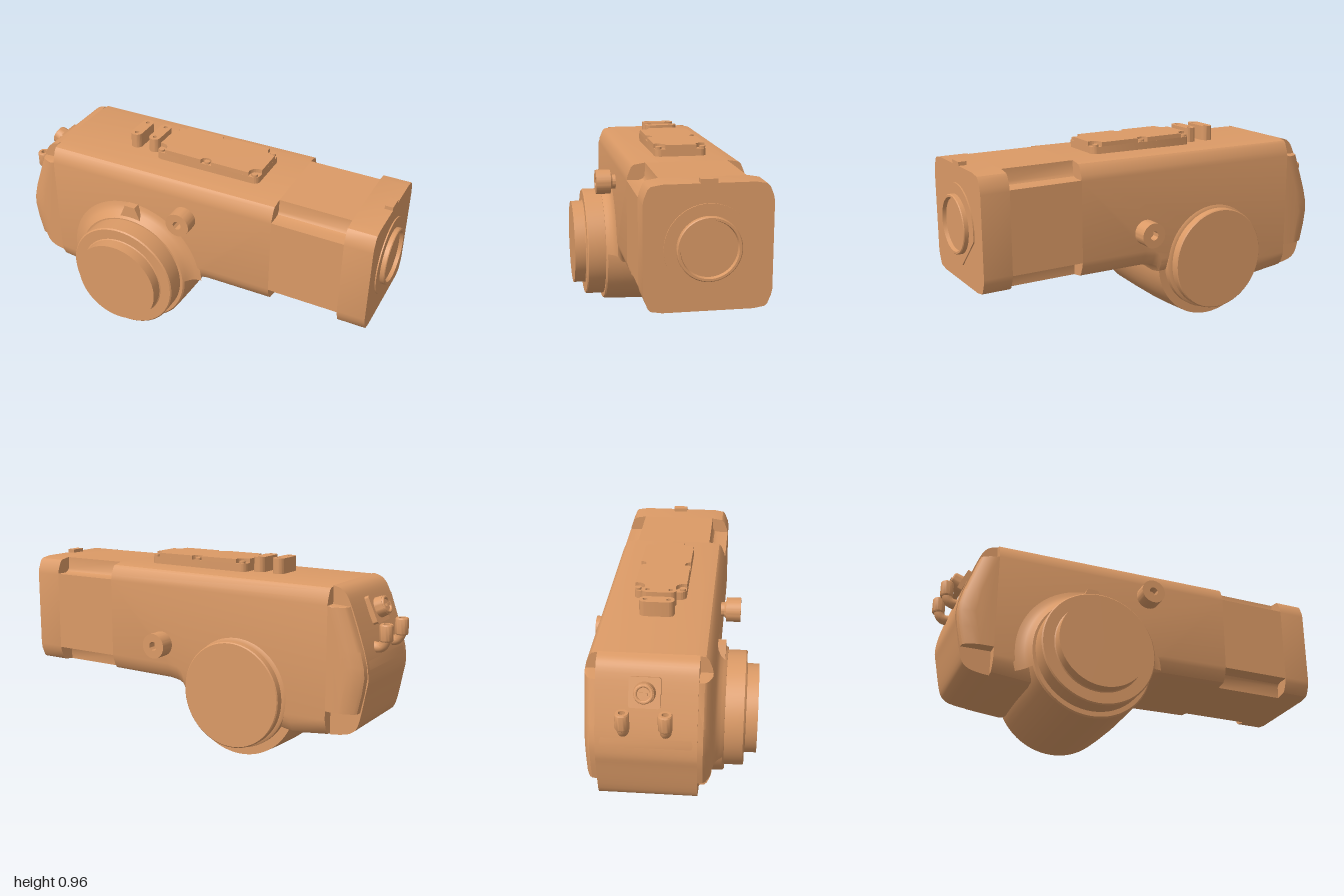
import * as THREE from 'three';
import { toCreasedNormals } from 'three/addons/utils/BufferGeometryUtils.js';

const MID_Z = -0.052, MID_Y = 0.617, HUB_X = -0.285, HUB_Y = 0.318;
const V = (x, y) => new THREE.Vector2(x, y);

export function createModel() {
  const model = new THREE.Group();
  const mat = new THREE.MeshStandardMaterial({ color: 0xdb9a66 });
  const thinMat = new THREE.MeshStandardMaterial({ color: 0xdb9a66, side: THREE.DoubleSide });

  function add(name, geo, x = 0, y = 0, z = 0, parent = model, material = mat) {
    const mesh = new THREE.Mesh(toCreasedNormals(geo, 0.6), material);
    mesh.name = name;
    mesh.position.set(x, y, z);
    parent.add(mesh);
    return mesh;
  }

  // Solid of stacked outlines: points [x, y, insetX, insetY], rings [z, inset amount]
  function layered(points, rings) {
    const n = points.length, pos = [], index = [];
    for (const [z, t] of rings)
      for (const [x, y, dx = 0, dy = 0] of points) pos.push(x + dx * t, y + dy * t, z);
    for (let k = 0; k < rings.length - 1; k++)
      for (let i = 0; i < n; i++) {
        const a = k * n + i, b = k * n + (i + 1) % n;
        index.push(a, b, b + n, a, b + n, a + n);
      }
    const ends = [0, rings.length - 1].map((k) => {
      const t = rings[k][1];
      return THREE.ShapeUtils.triangulateShape(
        points.map(([x, y, dx = 0, dy = 0]) => V(x + dx * t, y + dy * t)), []);
    });
    const last = (rings.length - 1) * n;
    for (const [a, b, c] of ends[0]) index.push(a, c, b);
    for (const [a, b, c] of ends[1]) index.push(last + a, last + b, last + c);
    const geo = new THREE.BufferGeometry();
    geo.setAttribute('position', new THREE.Float32BufferAttribute(pos, 3));
    geo.setIndex(index);
    return geo;
  }

  // Turned part along z, profile [radius, z]
  const turned = (profile, start = 0, sweep = Math.PI * 2) =>
    new THREE.LatheGeometry(profile.map(([r, z]) => V(r, z)), 64, start, sweep).rotateX(Math.PI / 2);

  const extrude = (shape, depth) =>
    new THREE.ExtrudeGeometry(shape, { depth, bevelEnabled: false, curveSegments: 20 });
  // Shape in (-z, y) pushed along +x; shape in (x, -z) pushed along +y
  const alongX = (shape, depth) => extrude(shape, depth).rotateY(Math.PI / 2);
  const alongY = (shape, depth) => extrude(shape, depth).rotateX(-Math.PI / 2);

  // Soft edge shared by the whole housing: [half width, inset]
  const edge = [[0.283, 1], [0.278, 0.7], [0.262, 0.24], [0.25, 0.1], [0.2, 0]];
  const bothEdges = [
    ...edge.map(([z, t]) => [-z, t]),
    ...edge.slice().reverse(),
  ];

  // Main housing
  const E = 0.085;
  add('mainHousing', layered([
    [0.47, 0.897, 0, -E], [-0.76, 0.885, 0, -E], [-0.76, 0.185, 0, E],
    [-0.58, 0.165, 0, E], [-0.5, 0.18, 0, E], [-0.1, 0.28, 0, E], [0.025, 0.28, 0, E],
    [0.04, 0.307, 0, E], [0.065, 0.324, 0, E], [0.12, 0.333, 0, E], [0.47, 0.337, 0, E],
  ], bothEdges), 0, 0, MID_Z);

  // Rounded rear cap, full height in the middle and cut away at its four corners
  const back = [[-0.92, 0.6, E, 0], [-0.938, 0.53, E, 0], [-0.943, 0.48, E, 0], [-0.932, 0.4, E, 0]];
  const capCurve = new THREE.SplineCurve([
    [-0.76, 0.885], [-0.81, 0.865], [-0.85, 0.8], [-0.92, 0.6], [-0.943, 0.48],
    [-0.932, 0.4], [-0.902, 0.255], [-0.87, 0.21], [-0.82, 0.193], [-0.76, 0.185],
  ].map(([x, y]) => V(x, y)));
  add('rearCap', layered(capCurve.getPoints(36).map((p) => [p.x, p.y]),
    [[-0.225, 0], [0.225, 0]]), 0, 0, MID_Z);
  const capSide = [[-0.76, 0.8], [-0.85, 0.795, 0.07, 0], ...back,
    [-0.912, 0.31, E, 0], [-0.76, 0.31]];
  add('rearCapSides', layered(capSide, bothEdges), 0, 0, MID_Z);

  // Front of the housing: a section with notched corners, then the end section
  function section(corner) {
    const rev = corner.slice().reverse();
    return new THREE.Shape([
      ...corner.map(([u, v]) => V(u, v)), ...rev.map(([u, v]) => V(-u, v)),
      ...corner.map(([u, v]) => V(-u, -v)), ...rev.map(([u, v]) => V(u, -v)),
    ]);
  }
  const plain = edge.map(([u, t]) => [u, 0.28 - E * t]);
  const notched = [[0.283, 0.2], [0.225, 0.2], [0.208, 0.206], [0.198, 0.22], [0.195, 0.28]];
  add('notchedSection', alongX(section(notched), 0.36), 0.47, MID_Y, MID_Z);
  add('endSection', alongX(section(plain), 0.14), 0.83, MID_Y, MID_Z);

  // End face: flat-sided pad, raised ring and small tab
  const pad = new THREE.Shape();
  pad.absarc(0, 0, 0.195, -0.23, Math.PI * 2 - 1.36, false);
  add('endPad', alongX(pad, 0.006), 0.97, MID_Y, MID_Z);
  add('endRing', turned([[0, 0], [0.142, 0], [0.142, 0.026], [0.138, 0.03], [0.128, 0.03],
    [0.124, 0.012], [0, 0.012]]).rotateY(Math.PI / 2), 0.97, MID_Y, MID_Z);
  add('endTab', new THREE.BoxGeometry(0.04, 0.03, 0.075), 0.95, 0.9, MID_Z);

  // Cross barrel with its front flange and rear bearing
  add('barrel', turned([[0, -0.305], [0.308, -0.305], [0.314, -0.2], [0.318, -0.05],
    [0.315, 0.12], [0.31, 0.272], [0.303, 0.28], [0, 0.28]]), HUB_X, HUB_Y, 0);
  add('barrelFairing', turned([[0.385, 0.229], [0.355, 0.235], [0.332, 0.248], [0.318, 0.265], [0.306, 0.28]],
    Math.PI / 2 + 0.05, Math.PI + 0.25), HUB_X, HUB_Y, 0, model, thinMat);
  add('frontFlange', turned([[0, 0.27], [0.288, 0.27], [0.288, 0.37], [0.282, 0.376], [0.228, 0.376],
    [0.223, 0.38], [0.223, 0.437], [0, 0.437]]), HUB_X, 0.327, 0);
  add('rearBearing', turned([[0, -0.395], [0.255, -0.395], [0.26, -0.39], [0.26, -0.356], [0.25, -0.354],
    [0.25, -0.342], [0.262, -0.34], [0.272, -0.334], [0.272, -0.3], [0, -0.3]]), HUB_X, 0.327, 0);
  add('barrelPeak', extrude(new THREE.Shape([V(-0.06, 0), V(0.06, 0), V(0.028, 0.075), V(-0.028, 0.075)]),
    0.05), HUB_X, 0.62, 0.22);

  // Side knobs with a hollow centre
  const knob = () => turned([[0.036, -0.005], [0.036, 0.018], [0.045, 0.028], [0.062, 0.028],
    [0.062, 0.102], [0.022, 0.102], [0.022, 0.06], [0, 0.06]]);
  add('frontKnob', knob(), 0.02, 0.72, 0.23);
  add('rearKnob', knob().rotateY(Math.PI), 0.135, 0.525, -0.334);

  // Top cover: base plate, upper layer with screw bites, and the screws
  function roundedRect(a, b, r) {
    const s = new THREE.Shape();
    s.absarc(a - r, b - r, r, 0, Math.PI / 2);
    s.absarc(r - a, b - r, r, Math.PI / 2, Math.PI);
    s.absarc(r - a, r - b, r, Math.PI, Math.PI * 1.5);
    s.absarc(a - r, r - b, r, Math.PI * 1.5, Math.PI * 2);
    return s;
  }
  const cover = new THREE.Group();
  cover.name = 'topCover';
  cover.position.set(0.043, 0.885, -0.055);
  model.add(cover);
  const A = 0.28, B = 0.126, R = 0.028, P = Math.PI;
  add('coverBase', alongY(roundedRect(A, B, 0.03), 0.045), 0, 0, 0, cover);
  const upper = new THREE.Shape();
  upper.absarc(A - 0.012, B - 0.012, 0.04, -P / 2 + 0.3, -P - 0.3, true);
  upper.absarc(0, B, R, 0, P, true);
  upper.absarc(0.012 - A, B - 0.012, 0.04, 0.3, -P / 2 - 0.3, true);
  upper.absarc(0.012 - A, 0.012 - B, 0.04, P / 2 + 0.3, -0.3, true);
  upper.absarc(0, -B, R, P, 0, true);
  upper.absarc(A - 0.012, 0.012 - B, 0.04, P + 0.3, P / 2 - 0.3, true);
  add('coverTop', alongY(upper, 0.03), 0, 0.036, 0, cover);
  for (const x of [-1, 0, 1])
    for (const z of [-1, 1])
      add('coverScrew', new THREE.CylinderGeometry(0.015, 0.015, 0.012, 16),
        x * (A - 0.024), 0.05, z * (B - 0.018), cover);

  // Two port blocks on top, each with a pair of holes
  for (const x of [-0.388, -0.283]) {
    const block = roundedRect(0.03, 0.083, 0.029);
    for (const v of [-0.055, 0.055]) {
      const hole = new THREE.Path();
      hole.absarc(0, v, 0.011, 0, Math.PI * 2, true);
      block.holes.push(hole);
    }
    add('portBlock', alongY(block, 0.078), x, 0.885, -0.055);
  }

  // Square-flanged socket on the sloped rear face
  const socket = new THREE.Group();
  socket.name = 'rearSocket';
  socket.position.set(-0.872, 0.755, -0.058);
  socket.rotation.z = 1.15;
  model.add(socket);
  add('socketFlange', alongY(roundedRect(0.068, 0.07, 0.012), 0.025), 0, -0.005, 0, socket);
  add('socketBody', new THREE.CylinderGeometry(0.046, 0.05, 0.05, 32), 0, 0.035, 0, socket);
  add('socketRim', new THREE.TorusGeometry(0.036, 0.008, 10, 32).rotateX(Math.PI / 2), 0, 0.06, 0, socket);
  add('socketKey', new THREE.BoxGeometry(0.012, 0.02, 0.035), 0, 0.062, 0, socket);

  // Pair of elbow fittings
  for (const z of [-0.148, 0.038]) {
    const path = new THREE.QuadraticBezierCurve3(
      new THREE.Vector3(-0.89, 0.605, z), new THREE.Vector3(-0.966, 0.57, z), new THREE.Vector3(-0.968, 0.66, z));
    add('elbowPipe', new THREE.TubeGeometry(path, 16, 0.025, 16));
    const nut = new THREE.LatheGeometry([[0, 0], [0.028, 0], [0.032, 0.006], [0.032, 0.074], [0.028, 0.08],
      [0.015, 0.08], [0.015, 0.04], [0, 0.04]].map(([r, y]) => V(r, y)), 24);
    add('elbowNut', nut, -0.968, 0.627, z);
  }
  return model;
}
